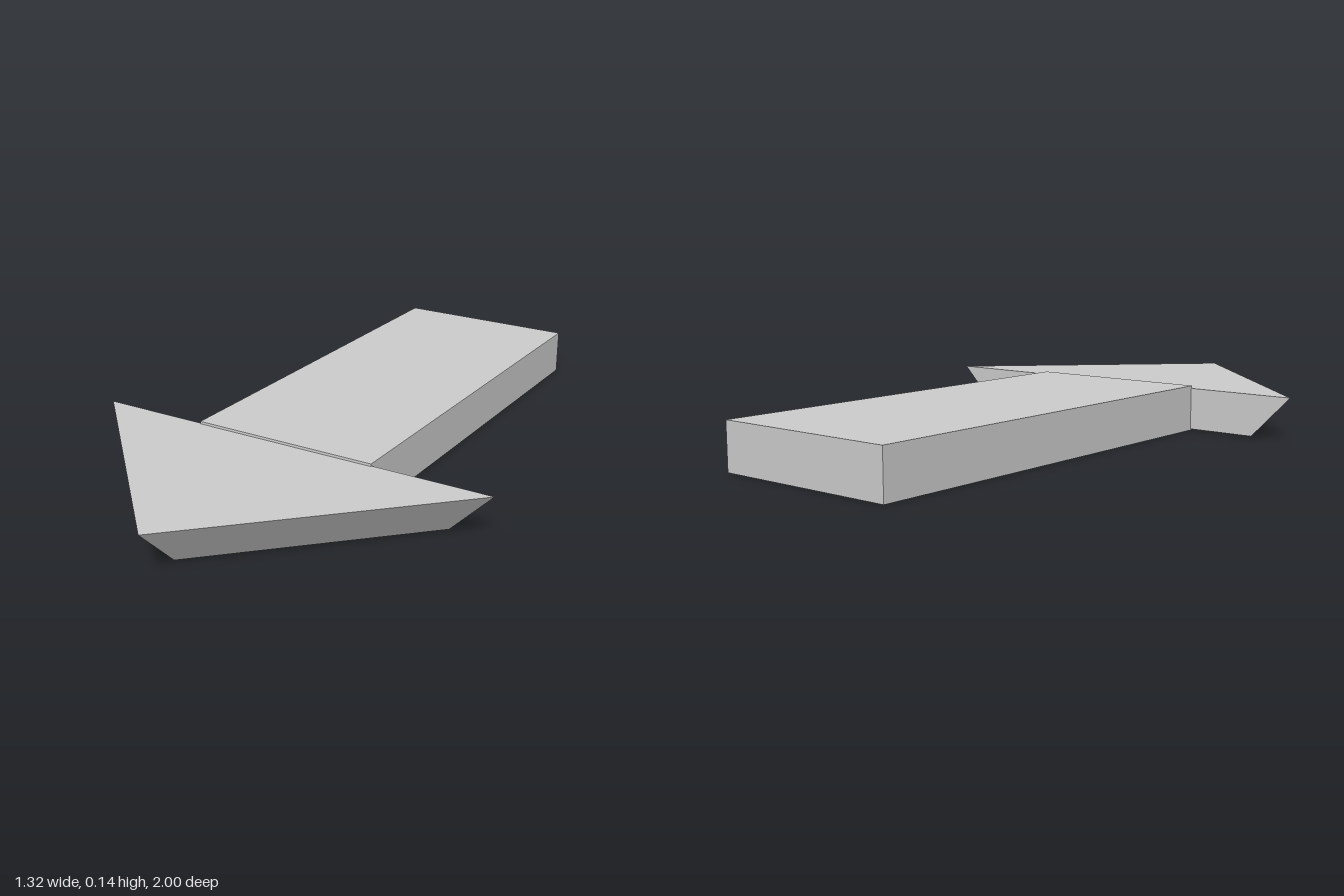
import * as THREE from 'three';

export function createModel() {
  const model = new THREE.Group();
  const material = new THREE.MeshStandardMaterial({ color: 0xcccccc, flatShading: true });

  function addPart(name, geometry, x, y, z) {
    const mesh = new THREE.Mesh(geometry, material);
    mesh.name = name;
    mesh.position.set(x, y, z);
    model.add(mesh);
  }

  // Shaft: a flat bar, set slightly off centre
  const shaftHeight = 0.143;
  addPart('arrowShaft', new THREE.BoxGeometry(0.595, shaftHeight, 1.35), -0.0125, shaftHeight / 2, -0.325);

  // Head: a triangular slab whose two front sides slope inward to the underside
  const headHeight = 0.131;
  const outline = new THREE.Shape([
    new THREE.Vector2(-0.66, 0),
    new THREE.Vector2(0.66, 0),
    new THREE.Vector2(0, 0.655),
  ]);
  const head = new THREE.ExtrudeGeometry(outline, { depth: headHeight, bevelEnabled: false });
  head.rotateX(Math.PI / 2);
  const p = head.attributes.position;
  for (let i = 0; i < p.count; i++) {
    if (p.getY(i) < -headHeight / 2) {
      p.setX(i, p.getX(i) * 0.803);
      p.setZ(i, p.getZ(i) * 0.803);
    }
  }
  head.computeVertexNormals();
  addPart('arrowHead', head, 0, 0.135, 0.345);

  return model;
}
